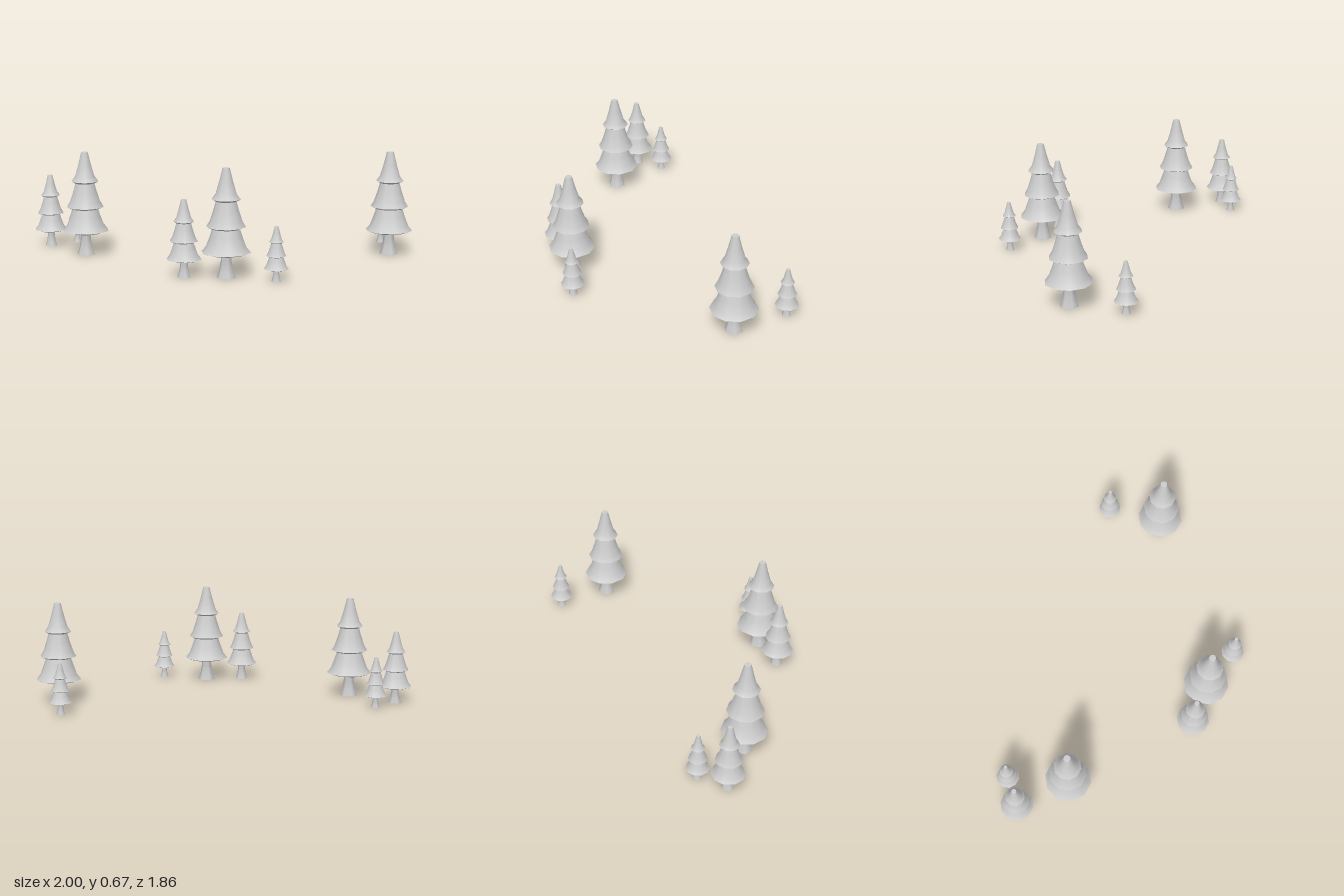
import * as THREE from 'three';

const foliageGrey = new THREE.MeshStandardMaterial({ color: 0xcccccc });
foliageGrey.name = 'plainGrey';

// Turned surface from [radius, height] pairs running bottom to top on the outside
function turned(name, pairs, sides, start = 0) {
  const points = pairs.map(([r, y]) => new THREE.Vector2(r, y));
  const mesh = new THREE.Mesh(new THREE.LatheGeometry(points, sides, start), foliageGrey);
  mesh.name = name;
  return mesh;
}

// Ten-sided flared skirts, from the lowest to the crown
const TIERS = [
  { name: 'lowerBranches', skirt: [[0.15, 0.157], [0.123, 0.19], [0.1, 0.25], [0.075, 0.325]] },
  { name: 'middleBranches', skirt: [[0.12, 0.312], [0.1, 0.345], [0.078, 0.41], [0.054, 0.495]] },
  { name: 'topBranches', skirt: [[0.088, 0.478], [0.064, 0.51], [0.042, 0.585], [0.022, 0.666]] },
];

function createTree() {
  const tree = new THREE.Group();

  // Six-sided trunk, flared at the foot
  tree.add(turned('trunk', [[0.06, 0], [0.044, 0.045], [0.034, 0.1], [0.032, 0.2]], 6));
  tree.add(turned('trunkBase', [[0, 0], [0.06, 0]], 6));

  for (const { name, skirt } of TIERS) {
    const [rimRadius, rimY] = skirt[0];
    const tier = new THREE.Group();
    tier.name = name;
    tier.add(turned('skirt', skirt, 10, Math.PI / 2));
    // Underside sags slightly below the rim
    tier.add(turned('underside',
      [[0, rimY - 0.004], [rimRadius * 0.75, rimY - 0.012], [rimRadius, rimY]], 10, Math.PI / 2));
    tree.add(tier);
  }

  // Blunt tip
  tree.add(turned('tip', [[0.022, 0.666], [0, 0.667]], 10, Math.PI / 2));
  return tree;
}

// Name, x, z, scale
const TREES = [
  ['largeTreeFrontRight', -0.525, 0.785, 1],
  ['largeTreeFrontLeft', 0.575, 0.595, 1],
  ['largeTreeBack', 0.845, -0.615, 1],
  ['mediumTreeFrontRight', -0.893, 0.785, 0.714],
  ['mediumTreeFrontLeft', 0.392, 0.77, 0.714],
  ['smallTreeFrontRight', -0.868, 0.585, 0.5],
  ['smallTreeFrontLeft', 0.857, 0.456, 0.5],
  ['smallTreeBack', 0.579, -0.862, 0.5],
];

export function createModel() {
  const model = new THREE.Group();
  model.name = 'pineGrove';
  for (const [name, x, z, scale] of TREES) {
    const tree = createTree();
    tree.name = name;
    tree.position.set(x, 0, z);
    tree.scale.setScalar(scale);
    model.add(tree);
  }
  return model;
}
